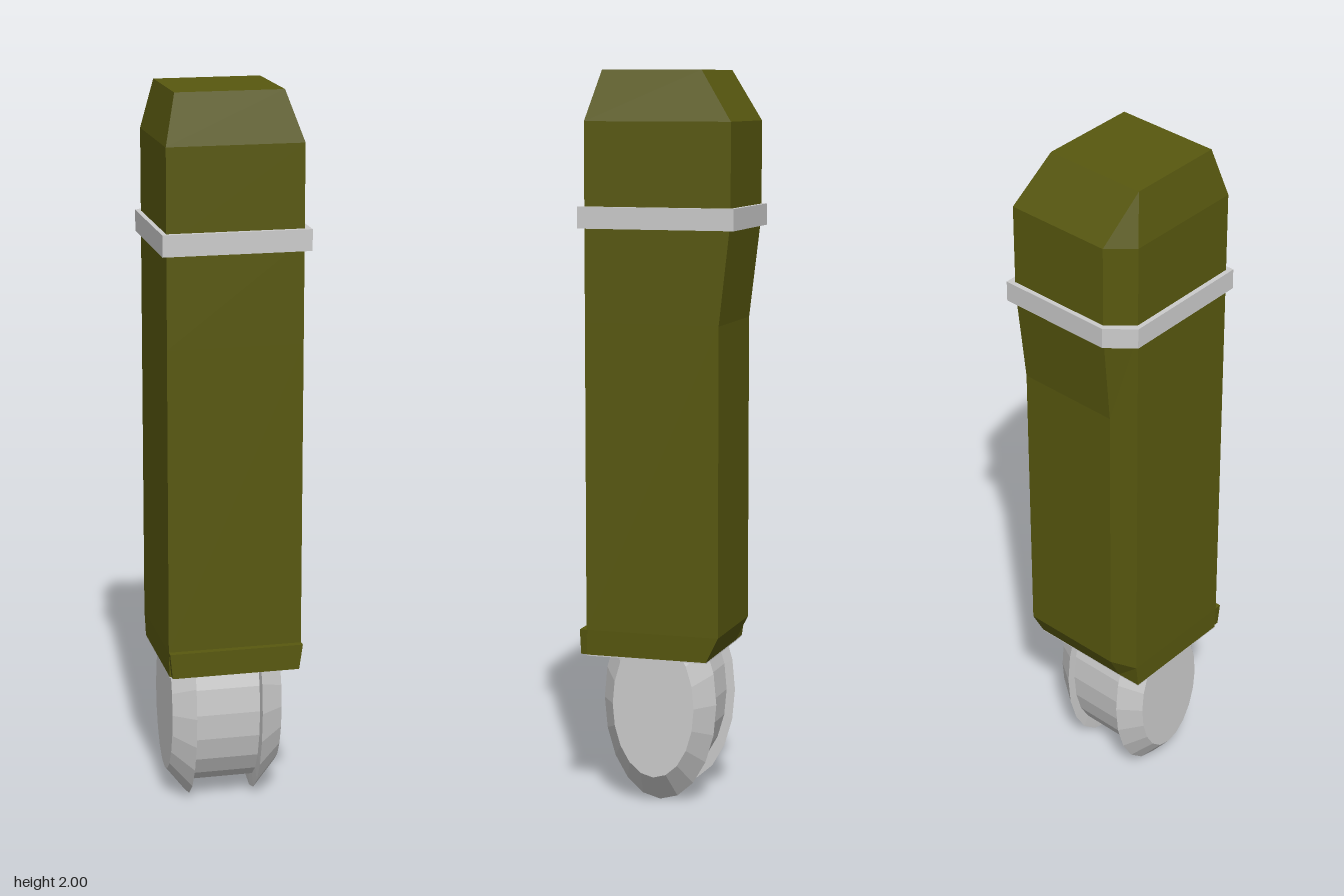
import * as THREE from 'three';

const olive = new THREE.MeshStandardMaterial({ color: 0x58580f, flatShading: true });
const grey = new THREE.MeshStandardMaterial({ color: 0xcccccc, flatShading: true });

// Five-sided section: a rectangle whose back -x corner is cut from (bx, back) to (left, az)
function ring(y, left, right, front, back, bx, az) {
  return [[left, front], [right, front], [right, back], [bx, back], [left, az]]
    .map(([x, z]) => new THREE.Vector3(x, y, z));
}

// Skin a stack of rings, bottom to top, and close both ends
function loft(rings) {
  const pos = [];
  const tri = (...pts) => pts.forEach((p) => pos.push(p.x, p.y, p.z));
  const n = rings[0].length;
  for (let r = 0; r < rings.length - 1; r++) {
    const lo = rings[r], hi = rings[r + 1];
    for (let i = 0; i < n; i++) {
      const j = (i + 1) % n;
      tri(lo[i], lo[j], hi[j]);
      tri(lo[i], hi[j], hi[i]);
    }
  }
  const bottom = rings[0], top = rings[rings.length - 1];
  for (let i = 1; i < n - 1; i++) {
    tri(bottom[0], bottom[i + 1], bottom[i]);
    tri(top[0], top[i], top[i + 1]);
  }
  const geo = new THREE.BufferGeometry();
  geo.setAttribute('position', new THREE.Float32BufferAttribute(pos, 3));
  geo.computeVertexNormals();
  return geo;
}

export function createModel() {
  const group = new THREE.Group();
  const add = (name, geo, mat) => {
    const mesh = new THREE.Mesh(geo, mat);
    mesh.name = name;
    group.add(mesh);
    return mesh;
  };

  // Long segment with a tapered back and a bevelled top
  add('body', loft([
    ring(0.42, -0.185, 0.178, 0.198, -0.14, -0.115, -0.138),
    ring(0.49, -0.187, 0.182, 0.198, -0.175, -0.115, -0.148),
    ring(1.33, -0.187, 0.182, 0.198, -0.175, -0.115, -0.148),
    ring(1.61, -0.187, 0.182, 0.198, -0.207, -0.122, -0.148),
    ring(1.865, -0.187, 0.182, 0.198, -0.207, -0.122, -0.148),
    ring(2.0, -0.157, 0.135, 0.163, -0.113, -0.157, -0.113),
  ]), olive);

  // Grey underside
  add('underside', loft([
    ring(0.417, -0.185, 0.178, 0.198, -0.14, -0.115, -0.138),
    ring(0.42, -0.185, 0.178, 0.198, -0.14, -0.115, -0.138),
  ]), grey);

  // Raised band around the upper part
  add('band', loft([
    ring(1.582, -0.2, 0.2, 0.212, -0.22, -0.13, -0.162),
    ring(1.64, -0.2, 0.2, 0.212, -0.22, -0.13, -0.162),
  ]), grey);

  // Lip along the bottom of the front face
  const lip = new THREE.Shape([[-0.18, 0.42], [0.173, 0.42], [0.183, 0.49], [-0.187, 0.49]]
    .map(([x, y]) => new THREE.Vector2(x, y)));
  const lipGeo = new THREE.ExtrudeGeometry(lip, { depth: 0.022, bevelEnabled: false });
  add('frontLip', lipGeo.translate(0, 0, 0.195), olive);

  // Oval hinge: a recessed core between two bevelled flanges, turned about the x axis
  const profile = [
    [0, -0.165], [0.2, -0.165], [0.278, -0.105], [0.237, -0.103],
    [0.237, 0.078], [0.278, 0.08], [0.2, 0.145], [0, 0.145],
  ].map(([r, x]) => new THREE.Vector2(r, x));
  const hingeGeo = new THREE.LatheGeometry(profile, 20);
  hingeGeo.rotateZ(-Math.PI / 2).scale(1, 1, 0.58);
  add('hinge', hingeGeo, grey).position.set(0, 0.28, 0.02);

  return group;
}
